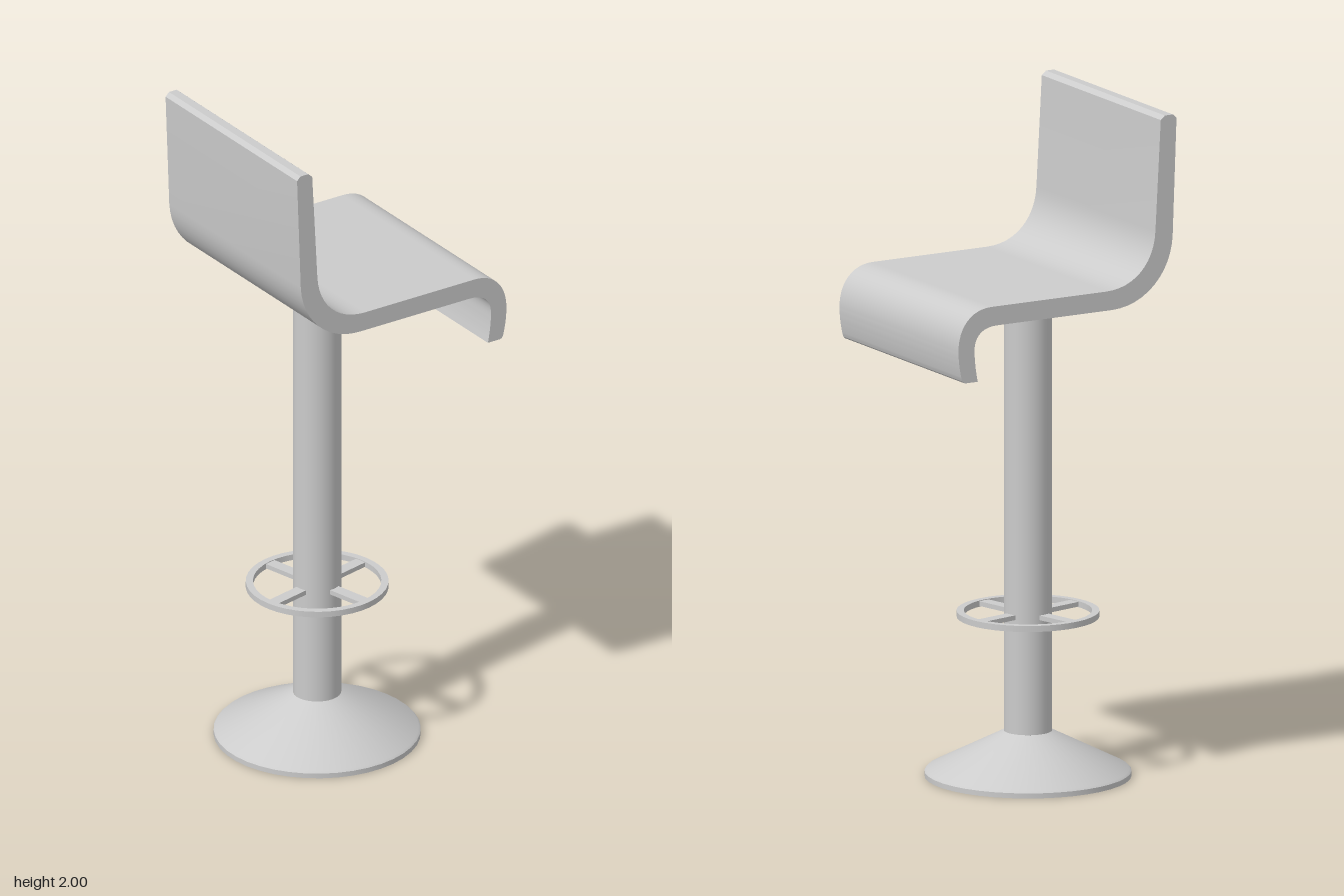
import * as THREE from 'three';
import { toCreasedNormals } from 'three/addons/utils/BufferGeometryUtils.js';

const PX = -0.077; // pedestal axis
const PZ = -0.003;

export function createModel() {
  const model = new THREE.Group();
  model.name = 'barStool';
  const material = new THREE.MeshStandardMaterial({ color: 0xcccccc });
  const shellMaterial = new THREE.MeshStandardMaterial({ color: 0xcccccc, side: THREE.DoubleSide });

  const add = (parent, name, geometry, mat = material) => {
    const mesh = new THREE.Mesh(geometry, mat);
    mesh.name = name;
    parent.add(mesh);
    return mesh;
  };
  const lathe = (points, segments) => toCreasedNormals(
    new THREE.LatheGeometry(points.map(([r, y]) => new THREE.Vector2(r, y)), segments), 0.5);

  // Seat: one bent sheet with backrest, flat seat and front lip, swivelled on the column
  const s = new THREE.Shape();
  s.moveTo(-0.367, 1.988);
  s.lineTo(-0.354, 1.64);
  s.bezierCurveTo(-0.348, 1.53, -0.262, 1.443, -0.148, 1.443);
  s.lineTo(0.237, 1.443);
  s.bezierCurveTo(0.285, 1.443, 0.313, 1.42, 0.313, 1.375);
  s.quadraticCurveTo(0.312, 1.33, 0.302, 1.283);
  s.lineTo(0.342, 1.283);
  s.quadraticCurveTo(0.353, 1.283, 0.356, 1.296);
  s.quadraticCurveTo(0.367, 1.34, 0.367, 1.38);
  s.bezierCurveTo(0.367, 1.45, 0.325, 1.5, 0.255, 1.5);
  s.lineTo(-0.13, 1.5);
  s.bezierCurveTo(-0.225, 1.5, -0.291, 1.565, -0.296, 1.66);
  s.lineTo(-0.314, 1.988);
  s.lineTo(-0.328, 2);
  s.lineTo(-0.355, 2);
  s.closePath();
  const width = 0.675;
  const seatGeometry = new THREE.ExtrudeGeometry(s, { depth: width, bevelEnabled: false, curveSegments: 12 });
  seatGeometry.translate(0, 0, -width / 2);
  const seat = add(model, 'seat', toCreasedNormals(seatGeometry, 0.5));
  seat.rotation.y = -0.224;

  const pedestal = new THREE.Group();
  pedestal.name = 'pedestal';
  pedestal.position.set(PX, 0, PZ);
  model.add(pedestal);

  // Column
  const column = add(pedestal, 'column', new THREE.CylinderGeometry(0.07, 0.07, 1.31, 32));
  column.position.y = 0.135 + 1.31 / 2;

  // Hollow conical foot
  add(pedestal, 'base', lathe([[0.3, 0], [0.3, 0.015], [0.294, 0.021], [0.07, 0.135]], 40), shellMaterial);

  // Footrest ring with four spokes
  const footrest = new THREE.Group();
  footrest.name = 'footrest';
  footrest.position.y = 0.482;
  pedestal.add(footrest);
  add(footrest, 'footrestRing',
    lathe([[0.186, -0.009], [0.207, -0.009], [0.207, 0.009], [0.186, 0.009], [0.186, -0.009]], 40));
  for (let i = 0; i < 4; i++) {
    const spoke = new THREE.BoxGeometry(0.13, 0.014, 0.036);
    spoke.translate(0.127, 0, 0);
    add(footrest, 'spoke', spoke).rotation.y = i * Math.PI / 2;
  }
  return model;
}
